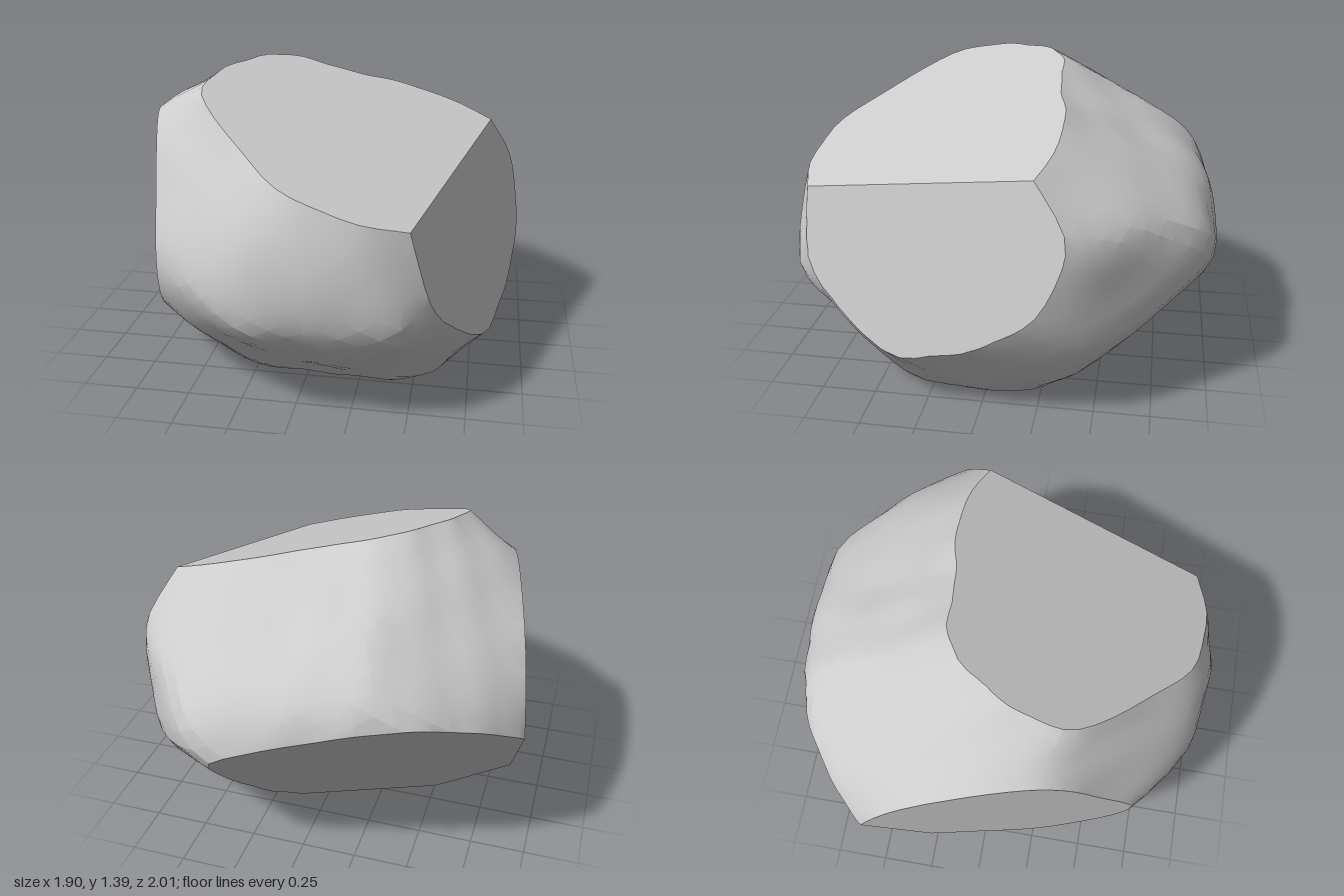
import * as THREE from 'three';
import { toCreasedNormals } from 'three/addons/utils/BufferGeometryUtils.js';

const CENTRE_Y = 0.69;

// Planes as [nx, ny, nz, distance], measured from the middle of the stone.
// Soft planes blend into the worn, rounded body.
const SOFT = [
  // front
  [0, 0, 1, 0.99], [0, 0.45, 0.9, 0.98], [0, -0.78, 0.62, 0.83],
  [-0.7, 0, 0.7, 0.95], [0.8, 0, 0.6, 1.0], [-0.5, 0.5, 0.7, 0.83],
  [-0.5, -0.6, 0.6, 0.87], [-0.45, -0.75, 0.5, 0.9], [0.55, -0.6, 0.6, 0.99],
  [0.4, 0.3, 0.85, 0.99],
  // back
  [-0.15, 0, -1, 1.01], [0.75, 0, -0.65, 0.98], [-0.6, 0, -0.8, 1.08],
  [0.15, 0.86, -0.5, 0.68], [0.5, 0.75, -0.45, 0.81], [0.1, 0.5, -0.87, 0.94],
  [0.3, -0.66, -0.66, 0.86], [0.1, -0.85, -0.5, 0.815], [-0.6, 0.6, -0.5, 0.92],
  [-0.45, 0.8, -0.4, 0.79],
  // sides, top and bottom
  [1, -0.1, -0.1, 0.99], [0.76, -0.65, 0, 0.94], [-1, 0, 0, 0.99],
  [-0.63, -0.77, 0, 0.85], [-0.5, 0.86, 0, 0.82], [0, 1, 0, 0.82], [0, -1, 0, 0.95],
];

// Cut planes slice the body into flat, sharp-edged faces.
const CUTS = [
  [0.288, 1, 0.265, 0.57],        // sloping top
  [1, 0.278, 0.327, 0.828],       // left side of the stone
  [-1, 0, 0.25, 0.81],            // right side of the stone
  [-0.41, -0.85, -1.0, 0.945],    // undercut at the back
  [0, -1, 0, CENTRE_Y],           // base
];

const side = (p, [a, b, c, d]) => a * p.x + b * p.y + c * p.z - d;

// Gentle bumps for the weathered surface
function bumps(v) {
  return 0.008 * Math.sin(7 * v.x + 3 * v.y + 1) * Math.cos(6 * v.z - 4 * v.y)
    + 0.008 * Math.sin(11 * v.y + 5 * v.z) * Math.cos(9 * v.x + 2)
    + 0.005 * Math.sin(19 * v.x - 13 * v.z + 8 * v.y);
}

function bodyPoint(v) {
  const dir = v.clone().normalize();
  let sum = 0;
  for (const [a, b, c, d] of SOFT) {
    sum += Math.max(0, (a * dir.x + b * dir.y + c * dir.z) / d) ** 20;
  }
  return dir.multiplyScalar(sum ** (-1 / 20) * (1 + bumps(dir)));
}

// Split triangles along a plane and press the outer pieces flat onto it.
function cut(triangles, plane) {
  const out = [];
  for (const tri of triangles) {
    const s = tri.map((p) => side(p, plane));
    const inner = [], outer = [];
    for (let i = 0; i < 3; i++) {
      const j = (i + 1) % 3;
      (s[i] <= 0 ? inner : outer).push(tri[i]);
      if ((s[i] <= 0) !== (s[j] <= 0)) {
        const m = tri[i].clone().lerp(tri[j], s[i] / (s[i] - s[j]));
        inner.push(m);
        outer.push(m);
      }
    }
    const flat = outer.map((p) => {
      const reach = side(p, plane) + plane[3];
      return p.clone().multiplyScalar(plane[3] / reach);
    });
    for (const poly of [inner, flat]) {
      for (let i = 1; i + 1 < poly.length; i++) out.push([poly[0], poly[i], poly[i + 1]]);
    }
  }
  return out;
}

function stoneGeometry() {
  const ball = new THREE.IcosahedronGeometry(1, 13).getAttribute('position');
  let triangles = [];
  for (let i = 0; i < ball.count; i += 3) {
    triangles.push([0, 1, 2].map((k) => bodyPoint(new THREE.Vector3().fromBufferAttribute(ball, i + k))));
  }
  for (const plane of CUTS) triangles = cut(triangles, plane);
  // Drop slivers left by the cuts
  triangles = triangles.filter(([a, b, c]) => new THREE.Triangle(a, b, c).getArea() > 1e-8);
  const geometry = new THREE.BufferGeometry().setFromPoints(triangles.flat());
  geometry.translate(0, CENTRE_Y, 0);
  return toCreasedNormals(geometry, 0.3);
}

export function createModel() {
  const group = new THREE.Group();
  group.name = 'rock';
  const stone = new THREE.Mesh(
    stoneGeometry(),
    new THREE.MeshStandardMaterial({ color: 0xcccccc, roughness: 0.9 }),
  );
  stone.name = 'stone';
  group.add(stone);
  return group;
}
